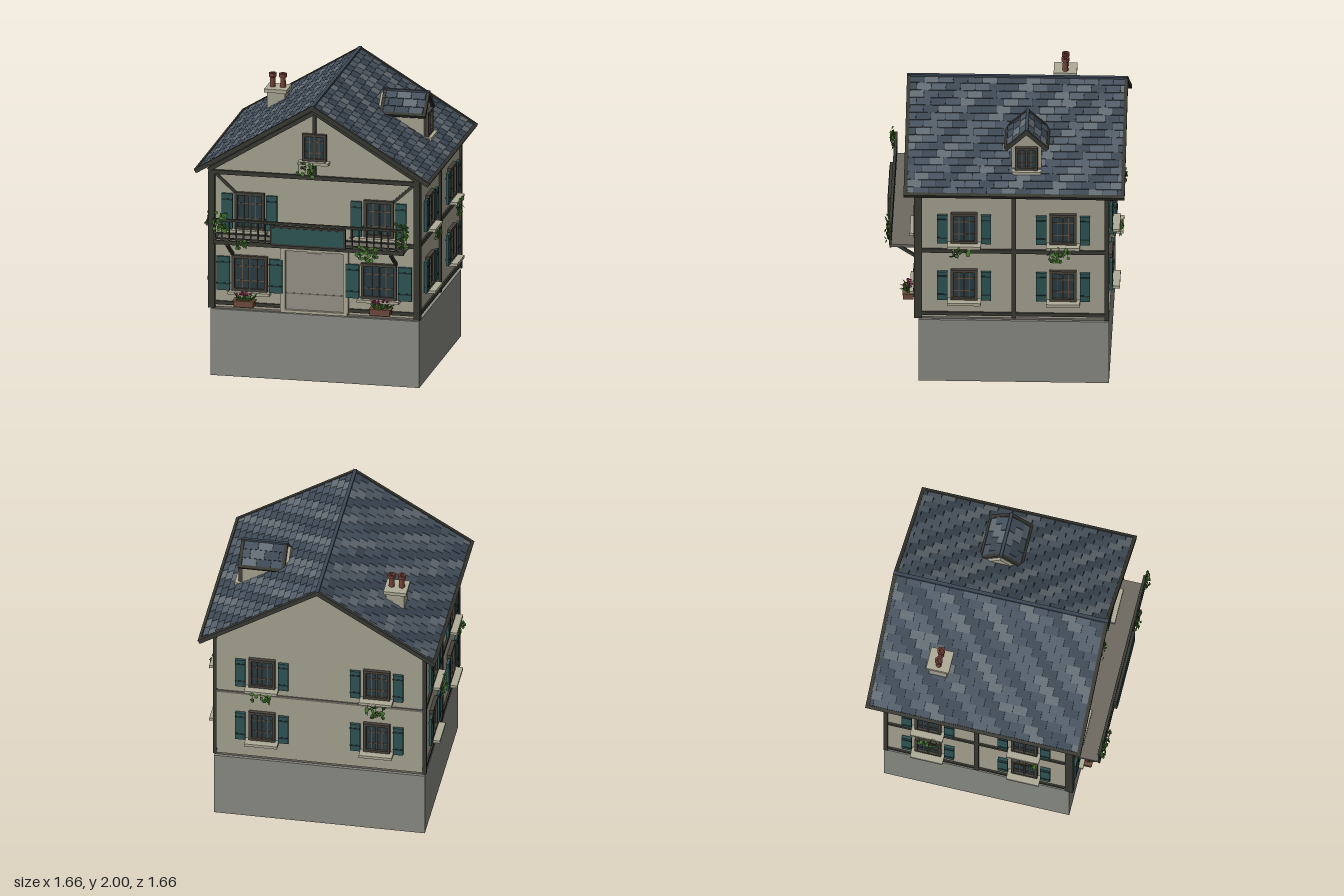
import * as THREE from 'three';
import { mergeGeometries } from 'three/addons/utils/BufferGeometryUtils.js';

const mat = (color, side = THREE.FrontSide) =>
  new THREE.MeshStandardMaterial({ color, side, roughness: 0.9, flatShading: true });
const M = {
  wall: mat(0xa8a593), sill: mat(0xb0ad99), stone: mat(0x8b8d85), slab: mat(0x6f6a62), door: mat(0x98948a),
  timber: mat(0x3a3a34), frame: mat(0x47423a), muntin: mat(0x66503f), glass: mat(0x2a3c42),
  teal: mat(0x2f5556), strap: mat(0x203234), deck: mat(0x2c3238), pot: mat(0x754238), planter: mat(0x6e4c3c),
  leaf: mat(0x41702c, THREE.DoubleSide), flower: mat(0xa8305f),
};
const tileMats = [0x3d4854, 0x46525e, 0x525d68, 0x636c74].map((c) => mat(c));

let seed = 7;
const rand = () => (seed = (seed * 16807) % 2147483647) / 2147483647;

function add(parent, name, geo, material, x = 0, y = 0, z = 0) {
  const m = new THREE.Mesh(geo, material);
  m.name = name;
  m.position.set(x, y, z);
  parent.add(m);
  return m;
}
const box = (p, name, material, w, h, d, x, y, z) =>
  add(p, name, new THREE.BoxGeometry(w, h, d), material, x, y, z);

// Straight beam between two points of a plane z = const
function beam(p, name, x1, y1, x2, y2, t, d, z) {
  const b = box(p, name, M.timber, Math.hypot(x2 - x1, y2 - y1), t, d, (x1 + x2) / 2, (y1 + y2) / 2, z);
  b.rotation.z = Math.atan2(y2 - y1, x2 - x1);
  return b;
}

function group(parent, name, x = 0, y = 0, z = 0, ry = 0) {
  const g = new THREE.Group();
  g.name = name;
  g.position.set(x, y, z);
  g.rotation.y = ry;
  parent.add(g);
  return g;
}

// House-shaped prism: half width, floor, shoulder and apex heights, from z0 to z1
function gablePrism(hw, y0, y1, y2, z0, z1) {
  const pts = [[-hw, y0], [hw, y0], [hw, y1], [0, y2], [-hw, y1]].map((a) => new THREE.Vector2(...a));
  return new THREE.ExtrudeGeometry(new THREE.Shape(pts), { depth: z1 - z0, bevelEnabled: false }).translate(0, 0, z0);
}

// Tiled gable roof with dark trim, ridge along z
function gableRoof(parent, name, apex, hw, drop, z0, z1, rows, trim) {
  const g = group(parent, name);
  const len = Math.hypot(hw, drop), a = Math.atan2(drop, hw), mid = (z0 + z1) / 2, depth = z1 - z0;
  const step = len / rows, tw = 0.1;
  for (const s of [-1, 1]) {
    const side = group(g, 'roofSlope', 0, apex, 0);
    side.rotation.z = -s * a;
    box(side, 'roofDeck', M.deck, len, 0.018, depth - 0.01, s * len / 2, -0.012, mid);
    const shades = tileMats.map(() => []);
    for (let r = 0; r < rows; r++) {
      let col = 0;
      for (let z = z0 - (r % 2) * tw / 2; z < z1; z += tw, col++) {
        const a0 = Math.max(z, z0) + 0.002, a1 = Math.min(z + tw, z1) - 0.002;
        if (a1 - a0 < 0.01) continue;
        const t = new THREE.BoxGeometry(step * 1.02, 0.008, a1 - a0);
        t.rotateZ(s * 0.08).translate(s * (r + 0.5) * step, 0, (a0 + a1) / 2);
        const wave = Math.sin((z - r * step) * Math.PI * 2 / 0.34) + (rand() - 0.5) * 0.9;
        shades[Math.max(0, Math.min(3, Math.floor(wave * 1.5 + 1.8)))].push(t);
      }
    }
    shades.forEach((list, i) => list.length && add(side, 'roofTiles', mergeGeometries(list), tileMats[i]));
    for (const z of [z0 + trim / 2, z1 - trim / 2])
      box(side, 'rakeTrim', M.timber, len, trim * 1.2, trim, s * len / 2, -0.004, z);
    box(side, 'eaveTrim', M.timber, trim, trim * 1.2, depth, s * len, -0.004, mid);
  }
  box(g, 'ridgeCap', tileMats[0], trim, 0.014, depth, 0, apex + 0.004, mid);
  return g;
}

// Window facing local +z; optional shutters (width sw, centre offset so)
function windowUnit(parent, x, y, z, ry, w, h, sw = 0, so = 0, sillOut = 0.06) {
  const g = group(parent, 'window', x, y, z, ry);
  const t = 0.02;
  box(g, 'glass', M.glass, w - t, h - t, 0.01, 0, 0, 0.005);
  for (const s of [-1, 1]) {
    box(g, 'windowJamb', M.frame, t, h, 0.032, s * (w - t) / 2, 0, 0.01);
    box(g, 'windowRail', M.frame, w, t, 0.034, 0, s * (h - t) / 2, 0.01);
    box(g, 'glazingBar', M.muntin, 0.006, h - t, 0.012, s * w / 5, 0, 0.008);
    box(g, 'glazingBar', M.muntin, w - t, 0.006, 0.012, 0, s * h / 5, 0.008);
    if (sw) {
      box(g, 'shutter', M.teal, sw, h - 0.015, 0.02, s * so, -0.005, 0.02);
      for (const k of [-1, 1]) box(g, 'shutterStrap', M.strap, sw, 0.01, 0.024, s * so, k * h * 0.3, 0.021);
    }
  }
  box(g, 'mullion', M.frame, 0.012, h - t, 0.02, 0, 0, 0.01);
  box(g, 'sill', M.sill, w + 0.045, 0.02, sillOut, 0, -h / 2 - 0.008, sillOut / 2);
}

// Hanging ivy: loose leaves on thin strands, filling w by h below the start point
function ivy(parent, x, y, z, ry, w, h, n) {
  const parts = [];
  for (let i = 0; i < 3; i++) {
    const l = h * (0.5 + rand() * 0.5);
    parts.push(new THREE.BoxGeometry(0.003, l, 0.003).translate((i / 2 - 0.5) * w * 0.8, -l / 2, 0));
  }
  for (let i = 0; i < n; i++) {
    const s = 0.018 + rand() * 0.014;
    const leaf = new THREE.CircleGeometry(s * 0.6, 5);
    leaf.rotateX((rand() - 0.5) * 1.4).rotateY((rand() - 0.5) * 1.4).rotateZ(rand() * 6);
    parts.push(leaf.translate((rand() - 0.5) * w, -rand() * h, (rand() - 0.3) * 0.03));
  }
  add(group(parent, 'ivy', x, y, z, ry), 'ivyLeaves', mergeGeometries(parts), M.leaf);
}

export function createModel() {
  const house = new THREE.Group();
  house.name = 'house';

  // Plinth and walls
  box(house, 'plinth', M.stone, 1.47, 0.475, 1.31, 0, 0.2375, -0.06);
  box(house, 'floorSlab', M.slab, 1.43, 0.03, 1.27, 0, 0.487, -0.06);
  add(house, 'walls', gablePrism(0.73, 0.495, 1.47, 1.92, -0.705, 0.6), M.wall);

  // Timber framing
  for (const s of [-1, 1]) {
    box(house, 'frontPost', M.timber, 0.045, 0.98, 0.055, s * 0.7225, 0.98, 0.597);
    box(house, 'backPost', M.timber, 0.025, 0.98, 0.028, s * 0.7325, 0.98, -0.7);
    box(house, 'sidePost', M.timber, 0.03, 0.96, 0.03, s * 0.73, 0.98, -0.06);
    for (const [y, h] of [[1.015, 0.03], [0.527, 0.025], [1.46, 0.025]])
      box(house, 'sideBeam', M.timber, 0.03, h, 1.3, s * 0.727, y, -0.055);
    box(house, 'frontSillBeam', M.timber, 0.48, 0.025, 0.03, s * 0.475, 0.527, 0.6);
    beam(house, 'gableRafter', s * 0.745, 1.475, 0, 1.93, 0.028, 0.04, 0.605);
    beam(house, 'cornerBrace', s * 0.7, 1.45, s * 0.25, 1.04, 0.022, 0.02, 0.597);
  }
  box(house, 'frontTieBeam', M.timber, 1.48, 0.028, 0.045, 0, 1.462, 0.6);
  box(house, 'frontFloorBeam', M.timber, 1.44, 0.03, 0.03, 0, 1.012, 0.6);
  box(house, 'kingPost', M.timber, 0.022, 0.46, 0.03, 0, 1.7, 0.6);
  box(house, 'backBand', M.slab, 1.44, 0.018, 0.012, 0, 1.012, -0.706);

  // Main roof
  gableRoof(house, 'mainRoof', 1.985, 0.815, 0.495, -0.825, 0.695, 16, 0.025);

  // Dormer: built along z, turned to face +x
  const dormer = group(house, 'dormer', 0, 0, -0.145, Math.PI / 2);
  add(dormer, 'dormerWalls', gablePrism(0.102, 1.585, 1.785, 1.88, 0.3, 0.625), M.wall);
  gableRoof(dormer, 'dormerRoof', 1.9, 0.14, 0.13, 0.32, 0.645, 3, 0.022);
  windowUnit(dormer, 0, 1.688, 0.625, 0, 0.155, 0.175, 0, 0, 0.052);

  // Chimney
  const chimney = group(house, 'chimney', -0.48, 0, -0.38);
  box(chimney, 'chimneyStack', M.wall, 0.125, 0.24, 0.125, 0, 1.66, 0);
  box(chimney, 'chimneyCap', M.sill, 0.16, 0.025, 0.16, 0, 1.79, 0);
  const potProfile = [[0.02, 0], [0.018, 0.07], [0.027, 0.075], [0.027, 0.1], [0.014, 0.1], [0.014, 0.02]]
    .map((a) => new THREE.Vector2(...a));
  for (const s of [-1, 1]) add(chimney, 'chimneyPot', new THREE.LatheGeometry(potProfile, 14), M.pot, s * 0.036, 1.8, 0);

  // Windows on all sides
  windowUnit(house, 0, 1.678, 0.6, 0, 0.17, 0.195);
  for (const s of [-1, 1]) {
    windowUnit(house, s * 0.455, 1.195, 0.6, 0, 0.21, 0.265, 0.076, 0.157);
    windowUnit(house, s * 0.455, 0.748, 0.6, 0, 0.25, 0.255, 0.094, 0.185);
    s > 0 || windowUnit;
    for (const y of [1.197, 0.757]) {
      windowUnit(house, s * 0.4, y, -0.705, Math.PI, 0.185, 0.235, 0.07, 0.15, 0.078);
      for (const z of [0.28, -0.4])
        windowUnit(house, s * 0.73, y, z, s * Math.PI / 2, 0.185, 0.235, 0.07, 0.15, 0.075);
    }
    ivy(house, s * 0.8, 1.075, 0.31, s * Math.PI / 2, 0.13, 0.07, 16);
    ivy(house, s * 0.8, 1.08, -0.37, s * Math.PI / 2, 0.16, 0.11, 26);
    ivy(house, s * 0.4, 1.07, -0.785, Math.PI, 0.13, s > 0 ? 0.07 : 0.1, s > 0 ? 16 : 26);
  }
  ivy(house, -0.05, 1.58, 0.66, 0, 0.12, 0.1, 22);

  // Entrance
  const entrance = group(house, 'entrance');
  box(entrance, 'door', M.door, 0.4, 0.45, 0.012, 0, 0.73, 0.6);
  box(entrance, 'doorRail', M.slab, 0.4, 0.008, 0.016, 0, 0.625, 0.6);
  box(entrance, 'doorstep', M.sill, 0.47, 0.02, 0.05, 0, 0.5, 0.605);
  box(entrance, 'doorHead', M.wall, 0.48, 0.025, 0.035, 0, 0.943, 0.605);
  box(entrance, 'doorCornice', M.sill, 0.51, 0.028, 0.06, 0, 0.968, 0.605);
  box(entrance, 'doorOrnament', M.slab, 0.1, 0.014, 0.02, 0, 0.923, 0.605);
  for (const s of [-1, 1]) box(entrance, 'doorPillar', M.sill, 0.036, 0.45, 0.04, s * 0.222, 0.725, 0.605);

  // Balcony
  const balcony = group(house, 'balcony');
  box(balcony, 'balconyFloor', M.slab, 1.335, 0.02, 0.19, 0, 1.01, 0.7);
  box(balcony, 'balconyEdge', M.timber, 1.34, 0.028, 0.015, 0, 1.012, 0.79);
  box(balcony, 'handrail', M.timber, 1.35, 0.016, 0.02, 0, 1.173, 0.79);
  box(balcony, 'lowerRail', M.timber, 1.33, 0.01, 0.012, 0, 1.04, 0.79);
  for (let i = 0; i <= 26; i++) {
    const end = i % 26 === 0 ? 2 : 1;
    box(balcony, 'baluster', M.timber, 0.009 * end, 0.15, 0.008 * end, -0.663 + i * 0.051, 1.095, 0.79);
  }
  box(balcony, 'panelFrame', M.timber, 0.53, 0.14, 0.022, 0, 1.093, 0.808);
  box(balcony, 'panel', M.teal, 0.5, 0.112, 0.012, 0, 1.093, 0.817);
  for (const s of [-1, 1]) {
    const bracket = group(balcony, 'bracket', s * 0.575, 0, 0, -Math.PI / 2);
    beam(bracket, 'bracketStrut', 0.61, 0.88, 0.785, 0.995, 0.02, 0.02, 0);
  }
  ivy(balcony, -0.62, 1.23, 0.805, 0, 0.1, 0.14, 34);
  ivy(balcony, 0.655, 1.23, 0.805, 0, 0.09, 0.19, 34);
  ivy(balcony, 0.41, 1.05, 0.805, 0, 0.15, 0.1, 26);
  ivy(balcony, -0.47, 1.04, 0.805, 0, 0.08, 0.06, 12);

  // Flower boxes
  for (const s of [-1, 1]) {
    const planter = group(house, 'flowerBox', s * 0.48, 0, 0.67);
    box(planter, 'planterTrough', M.planter, 0.14, 0.042, 0.07, 0, 0.55, 0);
    box(planter, 'planterRim', M.planter, 0.155, 0.01, 0.08, 0, 0.57, 0);
    const blades = [], blooms = [];
    for (let i = 0; i < 26; i++) {
      const blade = new THREE.ConeGeometry(0.011, 0.075, 3).scale(1, 1, 0.3).translate(0, 0.035, 0);
      blade.rotateZ(-(0.5 + rand() * 0.9)).rotateY(i * 2.4);
      blades.push(blade.translate((rand() - 0.5) * 0.1, 0.575, (rand() - 0.5) * 0.04));
    }
    for (let i = 0; i < 12; i++)
      blooms.push(new THREE.IcosahedronGeometry(0.01, 0)
        .translate((rand() - 0.5) * 0.11, 0.61 + rand() * 0.02, (rand() - 0.5) * 0.06));
    add(planter, 'leaves', mergeGeometries(blades), M.leaf);
    add(planter, 'flowers', mergeGeometries(blooms), M.flower);
  }
  return house;
}
